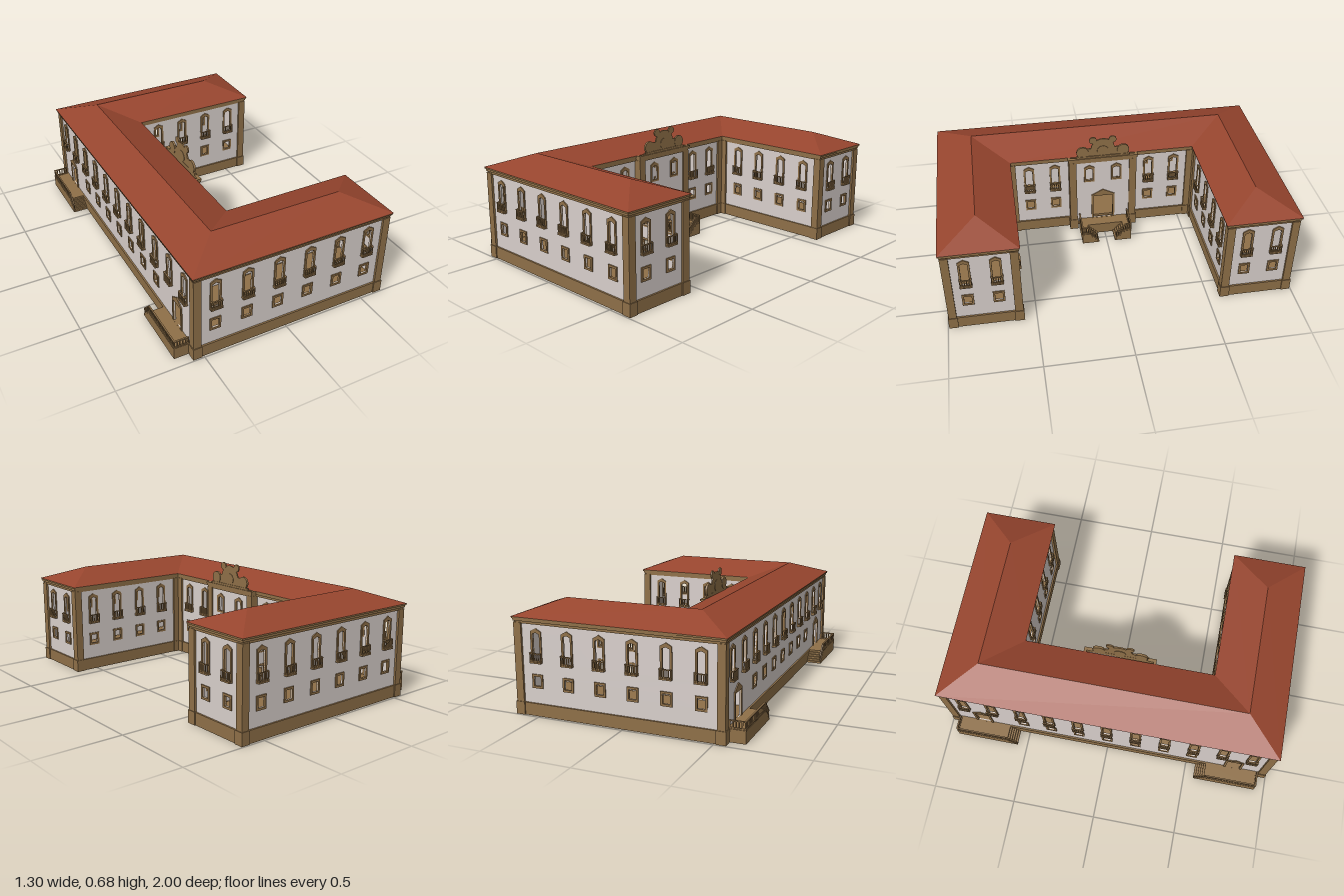
import * as THREE from 'three';

const mat = (name, color, double) => {
  const m = new THREE.MeshStandardMaterial({ color });
  m.name = name;
  if (double) m.side = THREE.DoubleSide;
  return m;
};

export function createModel() {
  const stone = mat('sandstone', 0x8f7048);
  const plaster = mat('plaster', 0xd9d0cc);
  const tile = mat('roof tile', 0x97452e, true);
  const root = new THREE.Group();

  const add = (parent, name, geo, material) => {
    const m = new THREE.Mesh(geo, material);
    m.name = name;
    parent.add(m);
    return m;
  };
  // box given by its minimum and maximum corners
  const box = (parent, name, x0, x1, y0, y1, z0, z1) => {
    const m = add(parent, name, new THREE.BoxGeometry(x1 - x0, y1 - y0, Math.abs(z1 - z0)), stone);
    m.position.set((x0 + x1) / 2, (y0 + y1) / 2, (z0 + z1) / 2);
  };
  const toShape = (pts) => new THREE.Shape(pts.map(([x, y]) => new THREE.Vector2(x, y)));
  // outlines and holes are all given counter-clockwise
  const extrude = (outer, holes, depth, z) => {
    const s = toShape(outer);
    s.holes = holes.map(toShape);
    return new THREE.ExtrudeGeometry(s, { depth, bevelEnabled: false }).translate(0, 0, z);
  };
  // railing from a to b: sloped top and bottom rails with upright bars
  const railing = (parent, name, a, b, h, n, t = 0.006) => {
    const g = new THREE.Group();
    g.name = name;
    const A = new THREE.Vector3(...a), B = new THREE.Vector3(...b);
    for (const y of [h, 0.006]) {
      const r = add(g, 'rail', new THREE.BoxGeometry(t * 1.5, t, A.distanceTo(B) + t), stone);
      r.position.copy(A).lerp(B, 0.5).y += y;
      r.lookAt(B.x, B.y + y, B.z);
    }
    for (let i = 0; i <= n; i++) {
      const p = add(g, 'baluster', new THREE.BoxGeometry(t, h, t), stone);
      p.position.copy(A).lerp(B, i / n).y += h / 2;
    }
    parent.add(g);
  };

  // C-shaped footprint grown by d, counter-clockwise in x and z
  const footprint = (d) => {
    const half = [[-0.162 + d, 0.585 - d], [0.626 + d, 0.585 - d], [0.626 + d, 0.978 + d], [-0.548 - d, 0.978 + d]];
    return [...half, ...half.map(([x, z]) => [x, -z]).reverse()];
  };
  const course = (name, d, y0, y1, hollow) => {
    const g = extrude(footprint(d), hollow ? [footprint(-0.009)] : [], y1 - y0, 0);
    add(root, name, g.rotateX(-Math.PI / 2).translate(0, y0, 0), stone);
  };
  course('plinth', 0.01, 0, 0.07, true);
  course('floor', -0.008, 0.062, 0.068, false);
  course('lowerCornice', 0.008, 0.505, 0.518, true);
  course('middleCornice', 0.014, 0.518, 0.53, true);
  course('upperCornice', 0.019, 0.53, 0.539, true);

  // hipped roof
  const P = footprint(0.022).map(([x, z]) => [x, 0.54, z]);
  const [A, B, C, D] = [[0.43, 0.785], [-0.355, 0.785], [-0.355, -0.785], [0.43, -0.785]].map(([x, z]) => [x, 0.62, z]);
  const slopes = [
    [P[3], P[2], A, B], [P[2], P[1], A], [P[1], P[0], B, A], [P[0], P[7], C, B],
    [P[7], P[6], D, C], [P[6], P[5], D], [P[5], P[4], C, D], [P[4], P[3], B, C],
  ];
  const verts = [];
  for (const f of slopes) for (let i = 1; i < f.length - 1; i++) verts.push(...f[0], ...f[i], ...f[i + 1]);
  const roofGeo = new THREE.BufferGeometry();
  roofGeo.setAttribute('position', new THREE.Float32BufferAttribute(verts, 3));
  roofGeo.computeVertexNormals();
  add(root, 'roof', roofGeo, tile);

  // openings: [half width, bottom, shoulder, apex] for the hole and for its surround
  const kinds = {
    upper: { hole: [0.021, 0.305, 0.452, 0.461], frame: [0.0325, 0.296, 0.466, 0.484] },
    plain: { hole: [0.021, 0.372, 0.452, 0.461], frame: [0.0325, 0.36, 0.466, 0.484] },
    lower: { hole: [0.021, 0.167, 0.22, 0.22], frame: [0.0325, 0.155, 0.232, 0.232] },
    door: { hole: [0.042, 0.071, 0.215, 0.215], frame: [0.055, 0.066, 0.225, 0.26] },
    portal: { hole: [0.062, 0.071, 0.245, 0.245], frame: [0.073, 0.066, 0.252, 0.291] },
  };
  const gable = (u, [w, y0, y1, top]) => {
    const pts = [[u - w, y0], [u + w, y0], [u + w, y1]];
    if (top > y1) pts.push([u, top]);
    return [...pts, [u - w, y1]];
  };
  // wall panel facing local +z with openings, surrounds and balconies
  const wall = (name, u0, u1, x, z, turn, openings) => {
    const g = new THREE.Group();
    g.name = name;
    g.position.set(x, 0, z);
    g.rotation.y = turn;
    const outline = [[u0, 0.05], [u1, 0.05], [u1, 0.52], [u0, 0.52]];
    add(g, 'plasterWall', extrude(outline, openings.map(([k, u]) => gable(u, kinds[k].hole)), 0.006, -0.006), plaster);
    for (const [k, u] of openings) {
      const { hole, frame } = kinds[k];
      add(g, k + 'Surround', extrude(gable(u, frame), [gable(u, hole)], 0.014, -0.008), stone);
      if (k === 'upper') {
        box(g, 'balconySlab', u - 0.034, u + 0.034, 0.296, 0.304, 0, 0.022);
        railing(g, 'balconyRail', [u - 0.031, 0.303, 0.018], [u + 0.031, 0.303, 0.018], 0.047, 5, 0.005);
        for (const s of [-1, 1])
          railing(g, 'balconySide', [u + s * 0.031, 0.303, 0.004], [u + s * 0.031, 0.303, 0.018], 0.047, 1, 0.005);
      }
    }
    root.add(g);
  };
  const both = (us) => us.flatMap((u) => [['upper', u], ['lower', u]]);
  const Q = Math.PI / 2;
  const six = [-0.43, -0.243, -0.055, 0.132, 0.32, 0.507];
  const four = [-0.013, 0.16, 0.333, 0.507];
  wall('frontWall', -0.54, 0.624, 0, 0.978, 0, both(six));
  wall('backWall', -0.624, 0.54, 0, -0.978, Math.PI, both(six.map((u) => -u)));
  wall('backWingInnerWall', -0.54, 0.624, 0, -0.585, 0, both(four));
  wall('frontWingInnerWall', -0.624, 0.54, 0, 0.585, Math.PI, both(four.map((u) => -u)));
  wall('frontWingEnd', -0.975, -0.588, 0.626, 0, Q, both([-0.87, -0.7]));
  wall('backWingEnd', 0.588, 0.975, 0.626, 0, Q, both([0.87, 0.7]));
  wall('courtyardWallLeft', -0.585, -0.17, -0.162, 0, Q, both([-0.455, -0.295]));
  wall('courtyardWallRight', 0.17, 0.585, -0.162, 0, Q, both([0.295, 0.455]));
  wall('entranceWall', -0.18, 0.18, -0.124, 0, Q, [['plain', -0.085], ['plain', 0.085], ['portal', 0]]);
  const long = [['door', -0.783], ['door', 0.783]];
  for (let i = -5; i <= 5; i++) {
    long.push(['upper', i * 0.174]);
    if (Math.abs(i) < 4) long.push(['lower', i * 0.174]);
  }
  wall('outerLongWall', -0.975, 0.975, -0.548, 0, -Q, long);

  // pilasters with wider bases: [x0, x1, z0, z1], mirrored in z
  const pilasters = [
    [-0.56, -0.515, 0.945, 0.99], [0.593, 0.638, 0.945, 0.99], [0.593, 0.638, 0.573, 0.62],
    [-0.166, -0.15, 0.535, 0.59], [-0.162, -0.115, 0.573, 0.589], [-0.164, -0.116, 0.165, 0.21],
  ];
  for (const s of [-1, 1]) for (const [x0, x1, z0, z1] of pilasters) {
    box(root, 'pilaster', x0, x1, 0.06, 0.51, s * z0, s * z1);
    const e = 0.004;
    box(root, 'pilasterBase', x0 - e, x1 + e, 0, 0.072, s * (z0 - e), s * (z1 + e));
  }

  // cornice around the projecting entrance bay
  for (const [out, y0, y1] of [[0, 0.505, 0.518], [0.004, 0.518, 0.53], [0.007, 0.53, 0.54]]) {
    box(root, 'entranceCornice', -0.13, -0.117 + out, y0, y1, -0.209 - out, 0.209 + out);
    for (const s of [-1, 1])
      box(root, 'entranceCorniceReturn', -0.15, -0.13, y0, y1, s * 0.2, s * (0.209 + out));
  }

  // crest above the courtyard entrance
  const disc = (name, z, y, r, t) => {
    const m = add(root, name, new THREE.CylinderGeometry(r, r, t, 28), stone);
    m.rotation.z = Q;
    m.position.set(-0.125, y, z);
  };
  box(root, 'crestBase', -0.13, -0.116, 0.54, 0.552, -0.165, 0.165);
  box(root, 'crestPanel', -0.129, -0.121, 0.55, 0.605, -0.11, 0.11);
  disc('crestDome', 0, 0.595, 0.074, 0.008);
  disc('crestMedallion', 0, 0.585, 0.035, 0.013);
  for (const s of [-1, 1]) {
    disc('crestLargeScroll', s * 0.125, 0.58, 0.037, 0.013);
    disc('crestSmallScroll', s * 0.06, 0.66, 0.023, 0.009);
  }

  // platform open underneath: a deck on four thin sides
  const platform = (name, x0, x1, z0, z1) => {
    const g = new THREE.Group();
    g.name = name;
    const t = 0.008;
    box(g, 'deck', x0, x1, 0.062, 0.07, z0, z1);
    for (const x of [x0, x1 - t]) box(g, 'side', x, x + t, 0, 0.063, z0, z1);
    for (const z of [z0, z1 - t]) box(g, 'side', x0, x1, 0, 0.063, z, z + t);
    root.add(g);
  };
  const steps = (x0, x1, zHigh, zLow, s) => {
    const n = 5, d = (zLow - zHigh) / n;
    for (let i = 0; i < n; i++)
      box(root, 'step', x0, x1, 0, 0.07 * (1 - (i + 1) / (n + 1)), s * (zHigh + i * d), s * (zHigh + (i + 1) * d));
  };
  // courtyard landing with two flights descending to the middle
  platform('entranceLanding', -0.125, -0.05, -0.155, 0.155);
  for (const s of [-1, 1]) {
    platform('sideLanding', -0.05, 0.042, Math.min(s * 0.11, s * 0.155), Math.max(s * 0.11, s * 0.155));
    steps(-0.05, 0.042, 0.11, 0.05, s);
    railing(root, 'landingRail', [0.037, 0.07, s * 0.152], [0.037, 0.07, s * 0.118], 0.048, 3);
    railing(root, 'stairRail', [0.037, 0.07, s * 0.118], [0.037, 0.012, s * 0.062], 0.048, 5);
    railing(root, 'landingSideRail', [-0.11, 0.07, s * 0.152], [0.037, 0.07, s * 0.152], 0.048, 10);

    // porches along the outer long side
    platform('porch', -0.648, -0.556, Math.min(s * 0.62, s * 0.938), Math.max(s * 0.62, s * 0.938));
    steps(-0.648, -0.556, 0.62, 0.56, s);
    railing(root, 'porchRail', [-0.643, 0.07, s * 0.934], [-0.643, 0.07, s * 0.625], 0.044, 18);
    railing(root, 'porchEndRail', [-0.643, 0.07, s * 0.934], [-0.562, 0.07, s * 0.934], 0.044, 5);
    railing(root, 'porchStairRail', [-0.643, 0.07, s * 0.625], [-0.643, 0.008, s * 0.564], 0.044, 4);
  }
  return root;
}
